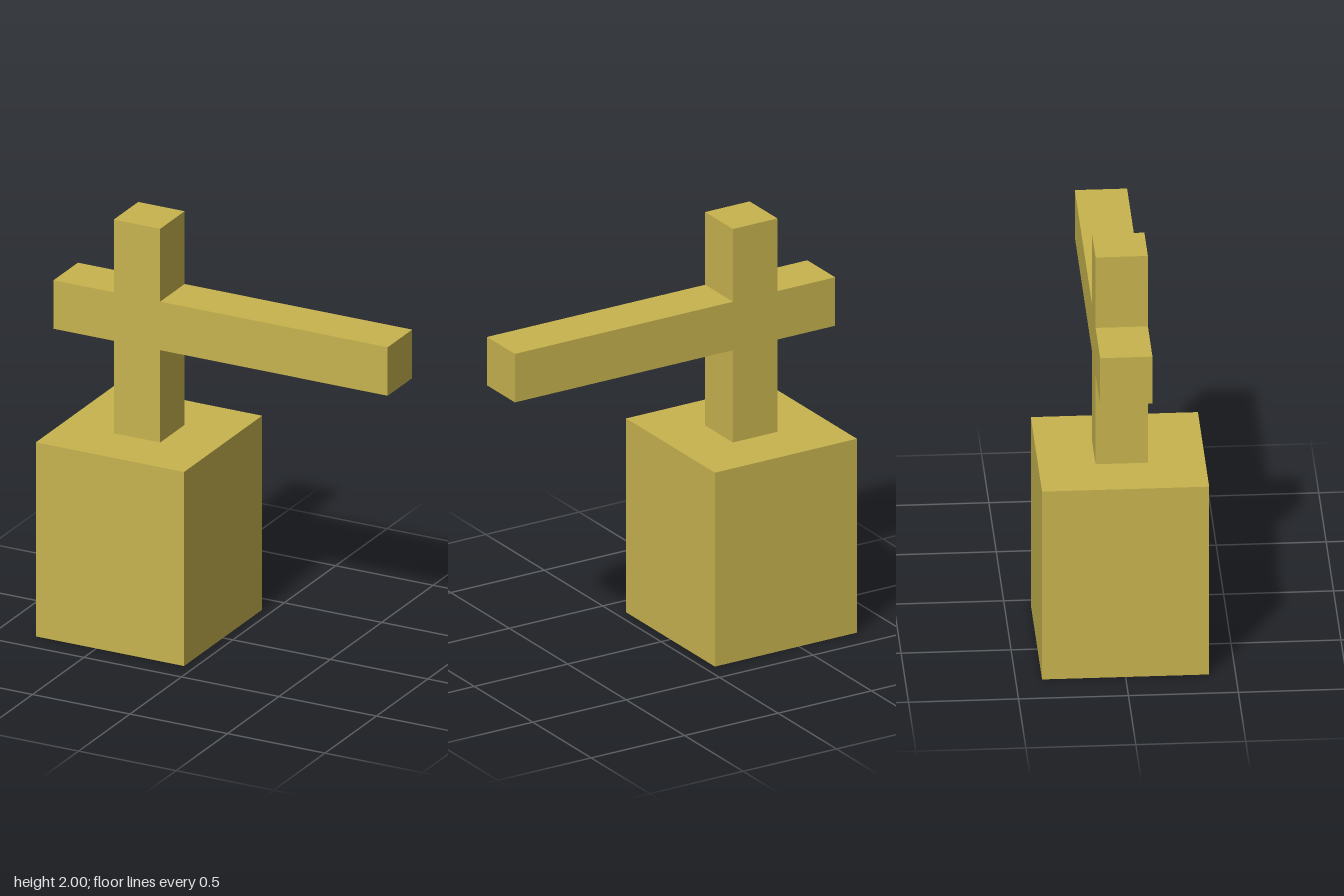
import * as THREE from 'three';

export function createModel() {
  const model = new THREE.Group();
  const ochre = new THREE.MeshStandardMaterial({ color: 0xc8b44f });
  ochre.name = 'ochre';

  // Box given by its x and y extents, centred on z = 0
  function addBox(name, x0, x1, y0, y1, depth) {
    const mesh = new THREE.Mesh(new THREE.BoxGeometry(x1 - x0, y1 - y0, depth), ochre);
    mesh.position.set((x0 + x1) / 2, (y0 + y1) / 2, 0);
    mesh.name = name;
    model.add(mesh);
  }

  const beam = 0.238;
  const postLeft = -0.31, postRight = postLeft - beam;
  const armBottom = 1.405, armTop = armBottom + beam;

  // Heavy block and the mast standing on it
  addBox('base', -0.81, -0.05, 0, 0.952, 0.76);
  addBox('post', postRight, postLeft, 0.952, 2, beam);

  // Crossbeam: short counter arm and long jib, meeting the mast on both sides
  addBox('shortArm', -0.857, postRight, armBottom, armTop, beam);
  addBox('longArm', postLeft, 0.857, armBottom, armTop, beam);

  return model;
}
